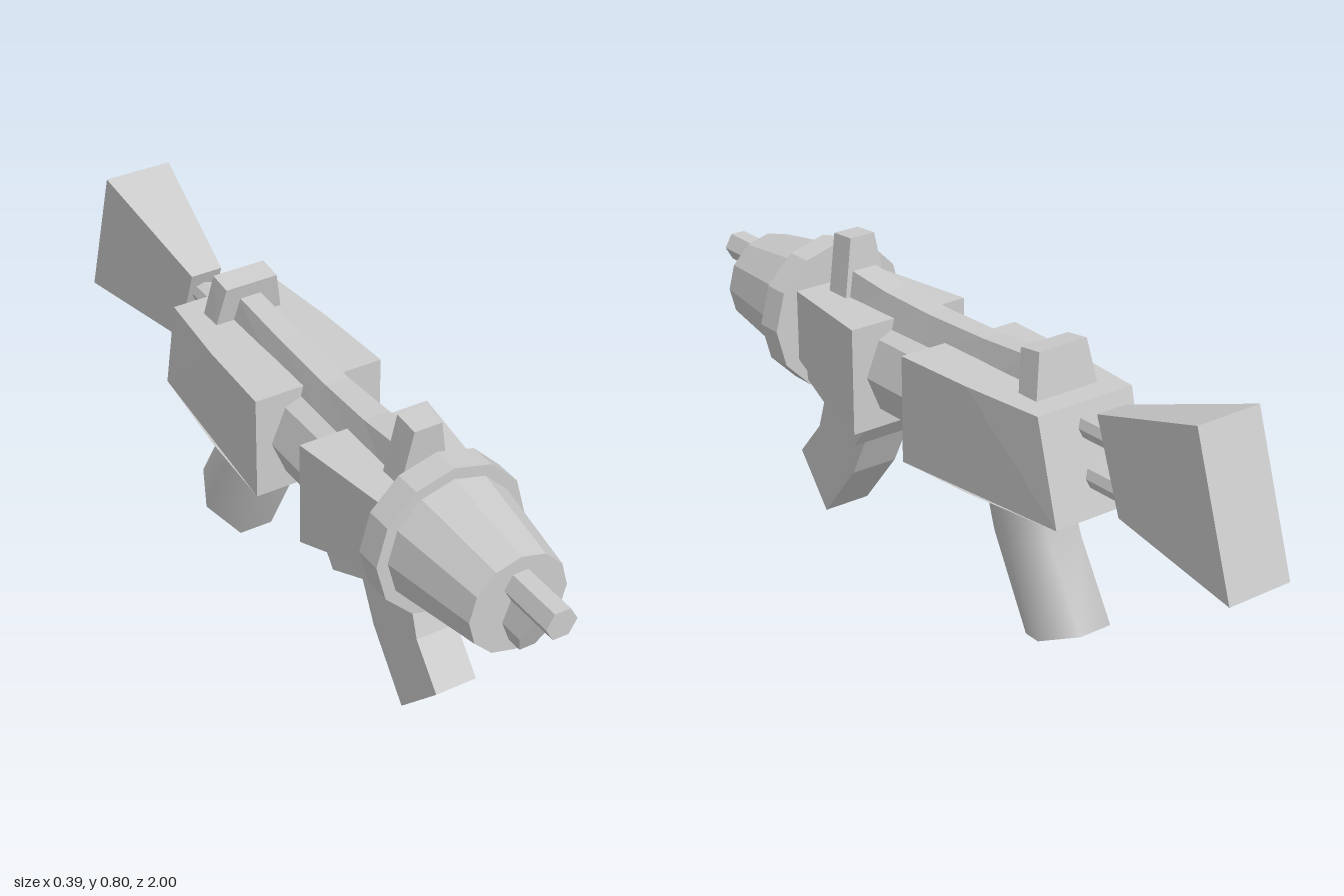
import * as THREE from 'three';
import { toCreasedNormals } from 'three/addons/utils/BufferGeometryUtils.js';

const flat = new THREE.MeshStandardMaterial({ color: 0xcccccc, flatShading: true });
const smooth = new THREE.MeshStandardMaterial({ color: 0xcccccc });

export function createModel() {
  const model = new THREE.Group();

  function add(name, geometry, material = flat) {
    const mesh = new THREE.Mesh(geometry, material);
    mesh.name = name;
    model.add(mesh);
    return mesh;
  }

  // Solid from a side outline of [z, y, halfWidth] points, mirrored about x = cx
  function block(name, outline, cx = 0) {
    let pts = outline.slice();
    const flatten = (p) => new THREE.Vector2(-p[0], p[1]);
    if (THREE.ShapeUtils.isClockWise(pts.map(flatten))) pts.reverse();
    const n = pts.length;
    const positions = [];
    for (const side of [1, -1]) {
      for (const [z, y, w] of pts) positions.push(cx + side * w, y, z);
    }
    const index = [];
    for (const [a, b, c] of THREE.ShapeUtils.triangulateShape(pts.map(flatten), [])) {
      index.push(a, b, c, a + n, c + n, b + n);
    }
    for (let i = 0; i < n; i++) {
      const j = (i + 1) % n;
      index.push(i, i + n, j + n, i, j + n, j);
    }
    const geometry = new THREE.BufferGeometry();
    geometry.setAttribute('position', new THREE.Float32BufferAttribute(positions, 3));
    geometry.setIndex(index);
    const faceted = geometry.toNonIndexed();
    faceted.computeVertexNormals();
    return add(name, faceted);
  }

  // Cylinder along z, from zBack to zFront
  function tube(name, zBack, zFront, y, rBack, rFront, sides) {
    const start = sides === 6 ? Math.PI / 6 : 0;
    const geometry = new THREE.CylinderGeometry(rFront, rBack, zFront - zBack, sides, 1, false, start);
    geometry.rotateX(Math.PI / 2).translate(0, y, (zBack + zFront) / 2);
    return add(name, geometry);
  }

  // Hexagonal sweep; each row gives the front and back edge as [zf, yf, zb, yb]
  function hexSweep(name, rows, halfWidth, material) {
    const last = rows.length - 1;
    const geometry = new THREE.CylinderGeometry(1, 1, 1, 6, last, false, Math.PI / 6);
    const pos = geometry.attributes.position;
    for (let i = 0; i < pos.count; i++) {
      const [zf, yf, zb, yb] = rows[Math.round((0.5 - pos.getY(i)) * last)];
      const t = pos.getZ(i) / Math.cos(Math.PI / 6);
      pos.setXYZ(i, pos.getX(i) * halfWidth,
        (yf + yb) / 2 + t * (yf - yb) / 2,
        (zf + zb) / 2 + t * (zf - zb) / 2);
    }
    return add(name, toCreasedNormals(geometry, 1.25), material);
  }

  // Barrel and muzzle
  tube('barrel', 0.8, 1, 0.607, 0.04, 0.04, 6);
  hexSweep('lowerBarrel', [[0.8, 0.464, 0.8, 0.573], [0.89, 0.464, 0.937, 0.573]].reverse(), 0.04, flat);
  tube('muzzleCone', 0.56, 0.85, 0.555, 0.172, 0.127, 12);
  tube('muzzleFlange', 0.525, 0.595, 0.555, 0.196, 0.196, 12);

  // Receiver
  block('frontReceiver', [[0.53, 0.65, 0.13], [0.23, 0.65, 0.172], [0.23, 0.372, 0.172], [0.53, 0.465, 0.13]]);
  tube('handguard', 0, 0.26, 0.513, 0.13, 0.13, 8);
  block('rearReceiver', [
    [0.03, 0.65, 0.172], [-0.2, 0.65, 0.162], [-0.43, 0.65, 0.14],
    [-0.495, 0.39, 0.135], [-0.2, 0.38, 0.162], [0.03, 0.375, 0.172],
  ]);

  // Magazine and its well
  block('magazineWell', [[0.53, 0.47, 0.1], [0.23, 0.385, 0.125], [0.29, 0.308, 0.124], [0.53, 0.405, 0.1]], 0.006);
  block('magazine', [
    [0.5, 0.42, 0.055], [0.5, 0.39, 0.055], [0.545, 0.25, 0.055], [0.632, 0.148, 0.055],
    [0.508, 0.022, 0.066], [0.38, 0.18, 0.066], [0.31, 0.32, 0.066], [0.3, 0.36, 0.066],
  ], 0.006);

  // Grip
  hexSweep('grip', [
    [-0.11, 0.42, -0.33, 0.42], [-0.12, 0.37, -0.335, 0.37],
    [-0.165, 0.23, -0.375, 0.27], [-0.287, 0, -0.485, 0.08],
  ], 0.092, smooth);

  // Top rail, wider at its foot
  const railTop = [[0.42, 0.716, 0.036], [0.28, 0.701, 0.034], [0.11, 0.695, 0.031], [-0.1, 0.7, 0.029], [-0.31, 0.714, 0.028]];
  for (let i = 0; i < railTop.length - 1; i++) {
    const a = railTop[i], b = railTop[i + 1];
    block('topRail', [a, b, [b[0], 0.62, b[2] + 0.02], [a[0], 0.62, a[2] + 0.02]]);
  }

  // Sights
  block('frontSight', [[0.49, 0.795, 0.036], [0.42, 0.8, 0.036], [0.408, 0.64, 0.064], [0.478, 0.64, 0.064]]);
  block('rearSight', [[-0.285, 0.752, 0.07], [-0.35, 0.76, 0.07], [-0.368, 0.64, 0.092], [-0.305, 0.64, 0.092]]);

  // Stock and the two rods holding it
  tube('upperStockRod', -0.57, -0.4, 0.595, 0.031, 0.031, 8);
  tube('lowerStockRod', -0.62, -0.44, 0.48, 0.031, 0.031, 8);
  block('stock', [[-0.517, 0.66, 0.042], [-0.88, 0.778, 0.09], [-1, 0.403, 0.09], [-0.597, 0.435, 0.042]]);

  return model;
}
